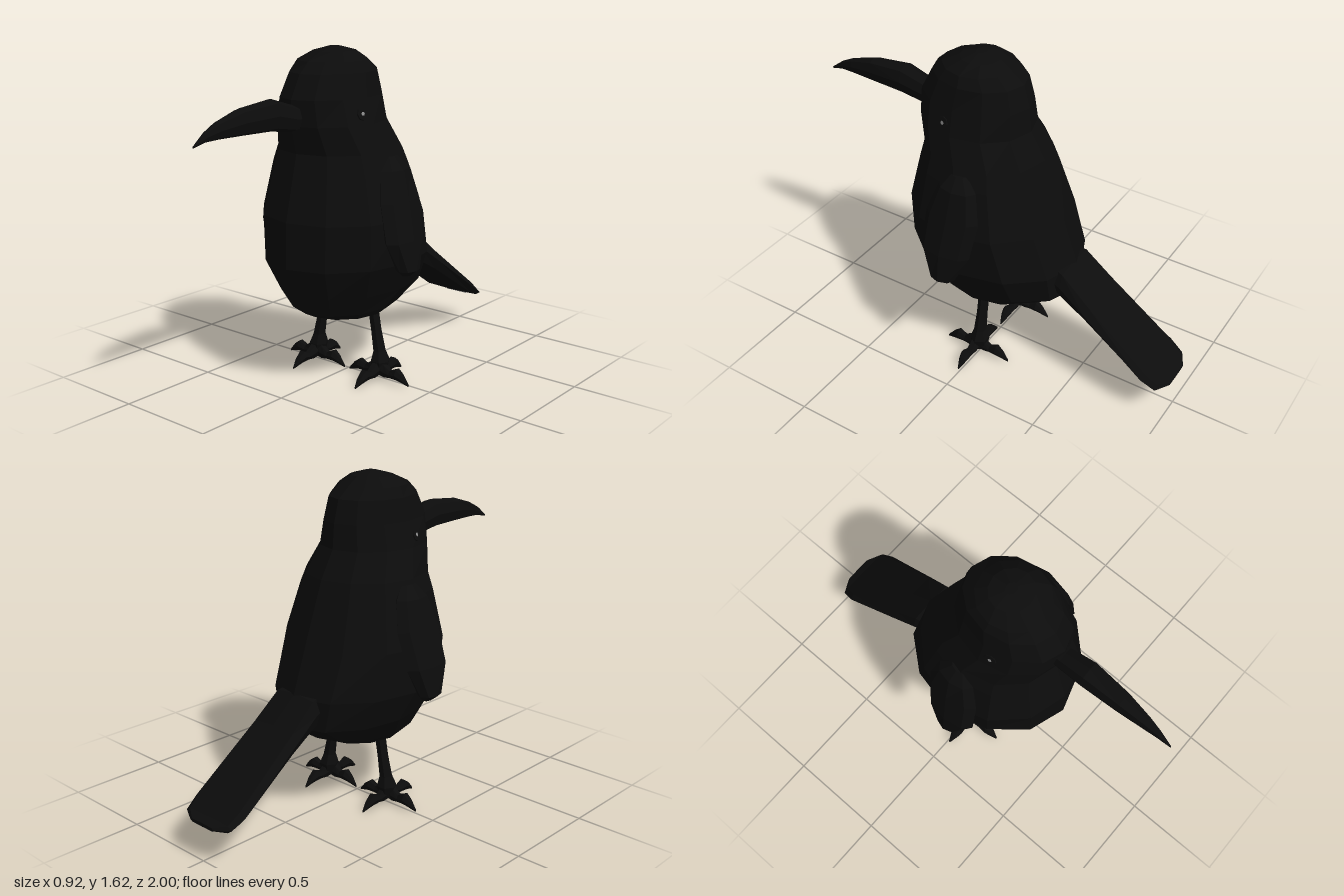
import * as THREE from 'three';

const black = new THREE.MeshStandardMaterial({ color: 0x0c0c0c, flatShading: true });
black.name = 'black feathers';
const grey = new THREE.MeshStandardMaterial({ color: 0x8a8a8a, flatShading: true });
grey.name = 'pale grey';

// Closed skin over a list of equal-length rings of points
function loft(rings) {
  const n = rings[0].length, pos = [], idx = [];
  const centre = r => r.reduce((s, p) => s.map((v, k) => v + p[k] / n), [0, 0, 0]);
  rings.forEach(r => r.forEach(p => pos.push(...p)));
  const last = (rings.length - 1) * n, c0 = rings.length * n;
  pos.push(...centre(rings[0]), ...centre(rings[rings.length - 1]));
  for (let i = 0; i < n; i++) {
    const j = (i + 1) % n;
    for (let k = 0; k < last; k += n) {
      const a = k + i, b = k + j, c = b + n, d = a + n;
      idx.push(a, d, b, b, d, c);
    }
    idx.push(c0, i, j, c0 + 1, last + j, last + i);
  }
  const g = new THREE.BufferGeometry();
  g.setAttribute('position', new THREE.Float32BufferAttribute(pos, 3));
  g.setIndex(idx);
  g.computeVertexNormals();
  return g;
}

// Unit ring; a power below 1 makes it squarer
function unitRing(n, power = 1) {
  const s = v => (Math.abs(v) < 1e-6 ? 0 : Math.sign(v) * Math.abs(v) ** power);
  return Array.from({ length: n }, (_, i) => {
    const a = i / n * Math.PI * 2;
    return [s(Math.cos(a)), s(Math.sin(a))];
  });
}

// Rows going up: [y, xMin, xMax, zFront, zBack]
const loftY = (rows, n) => loft(rows.map(([y, x0, x1, zf, zb]) =>
  unitRing(n).map(([c, s]) => [(x0 + x1) / 2 + c * (x1 - x0) / 2, y, (zf + zb) / 2 + s * (zf - zb) / 2])));

// Rows going forward: [z, halfWidth, yTop, yBottom]
const loftZ = (rows, n, power) => loft(rows.map(([z, w, t, b]) =>
  unitRing(n, power).map(([c, s]) => [c * w, (t + b) / 2 - s * (t - b) / 2, z])));

function add(parent, name, geometry, material = black) {
  const m = new THREE.Mesh(geometry, material);
  m.name = name;
  parent.add(m);
  return m;
}

export function createModel() {
  const bird = new THREE.Group();
  bird.name = 'bird';

  // Body and head in one skin: [y, halfWidth, zFront, zBack]
  const body = [
    [0.305, 0.10, 0.10, -0.06], [0.335, 0.20, 0.25, -0.20], [0.37, 0.235, 0.32, -0.28],
    [0.47, 0.30, 0.385, -0.43], [0.62, 0.37, 0.455, -0.435], [0.84, 0.385, 0.45, -0.355],
    [1.07, 0.325, 0.395, -0.27], [1.15, 0.295, 0.375, -0.24], [1.28, 0.245, 0.405, -0.165],
    [1.40, 0.212, 0.405, -0.155], [1.51, 0.19, 0.345, -0.125], [1.56, 0.165, 0.29, -0.06],
    [1.60, 0.105, 0.20, 0.0], [1.62, 0.03, 0.125, 0.075],
  ];
  add(bird, 'body', loftY(body.map(([y, w, f, b]) => [y, -w, w, f, b]), 12));

  // Curved beak
  add(bird, 'beak', loftZ([
    [0.34, 0.05, 1.37, 1.26], [0.41, 0.052, 1.38, 1.255], [0.54, 0.06, 1.42, 1.275],
    [0.73, 0.046, 1.40, 1.28], [0.86, 0.028, 1.36, 1.282], [0.93, 0.016, 1.325, 1.28],
    [1.0, 0.003, 1.272, 1.264],
  ], 8, 0.8));

  // Sloping flat tail with a pale patch beneath the tip
  add(bird, 'tail', loftZ([
    [-1.0, 0.08, 0.19, 0.172], [-0.96, 0.155, 0.208, 0.168], [-0.89, 0.17, 0.265, 0.195],
    [-0.56, 0.15, 0.52, 0.405], [-0.42, 0.14, 0.64, 0.48], [-0.32, 0.12, 0.66, 0.52],
  ], 8, 0.5));
  const patch = add(bird, 'tailTipPatch', new THREE.BoxGeometry(0.13, 0.006, 0.035), grey);
  patch.position.set(0, 0.169, -0.975);

  for (const side of [1, -1]) {
    const label = side > 0 ? 'left' : 'right';

    // Folded wing
    const wing = [
      [0.58, 0.38, 0.42, 0.09, 0.03], [0.61, 0.36, 0.458, 0.13, 0.0], [0.75, 0.33, 0.442, 0.20, -0.07],
      [0.93, 0.29, 0.398, 0.19, -0.095], [1.07, 0.25, 0.36, 0.14, -0.06], [1.13, 0.25, 0.31, 0.09, 0.0],
    ];
    add(bird, label + 'Wing', loftY(wing.map(([y, a, b, f, k]) =>
      side > 0 ? [y, a, b, f, k] : [y, -b, -a, f, k]), 8));

    // Small eye with a glint
    const eye = new THREE.Group();
    eye.name = label + 'Eye';
    eye.position.set(side * 0.217, 1.33, 0.17);
    eye.lookAt(side * 1.2, 1.6, 0.37);
    add(eye, 'pupil', new THREE.CylinderGeometry(0.03, 0.035, 0.016, 8).rotateX(Math.PI / 2));
    const glint = add(eye, 'glint', new THREE.CircleGeometry(0.01, 6), grey);
    glint.position.z = 0.009;
    bird.add(eye);

    // Leg, flaring into the foot
    const leg = [
      [0.03, 0.2, 0.035], [0.09, 0.2, 0.05], [0.14, 0.195, 0.032], [0.24, 0.175, 0.027], [0.38, 0.15, 0.027],
    ];
    add(bird, label + 'Leg', loftY(leg.map(([y, x, r]) => [y, side * x - r, side * x + r, r, -r]), 6));

    // Four toes in a cross, each with a knuckle and claw
    const foot = new THREE.Group();
    foot.name = label + 'Foot';
    foot.position.set(side * 0.2, 0, 0.012);
    for (let i = 0; i < 4; i++) {
      const toe = add(foot, 'toe', loftZ([
        [0, 0.03, 0.11, 0.02], [0.04, 0.026, 0.085, 0.012], [0.075, 0.022, 0.06, 0.018],
        [0.115, 0.028, 0.078, 0.018], [0.145, 0.02, 0.055, 0.012], [0.182, 0.004, 0.012, 0.0],
      ], 6));
      toe.rotation.y = i * Math.PI / 2;
    }
    bird.add(foot);
  }
  return bird;
}
